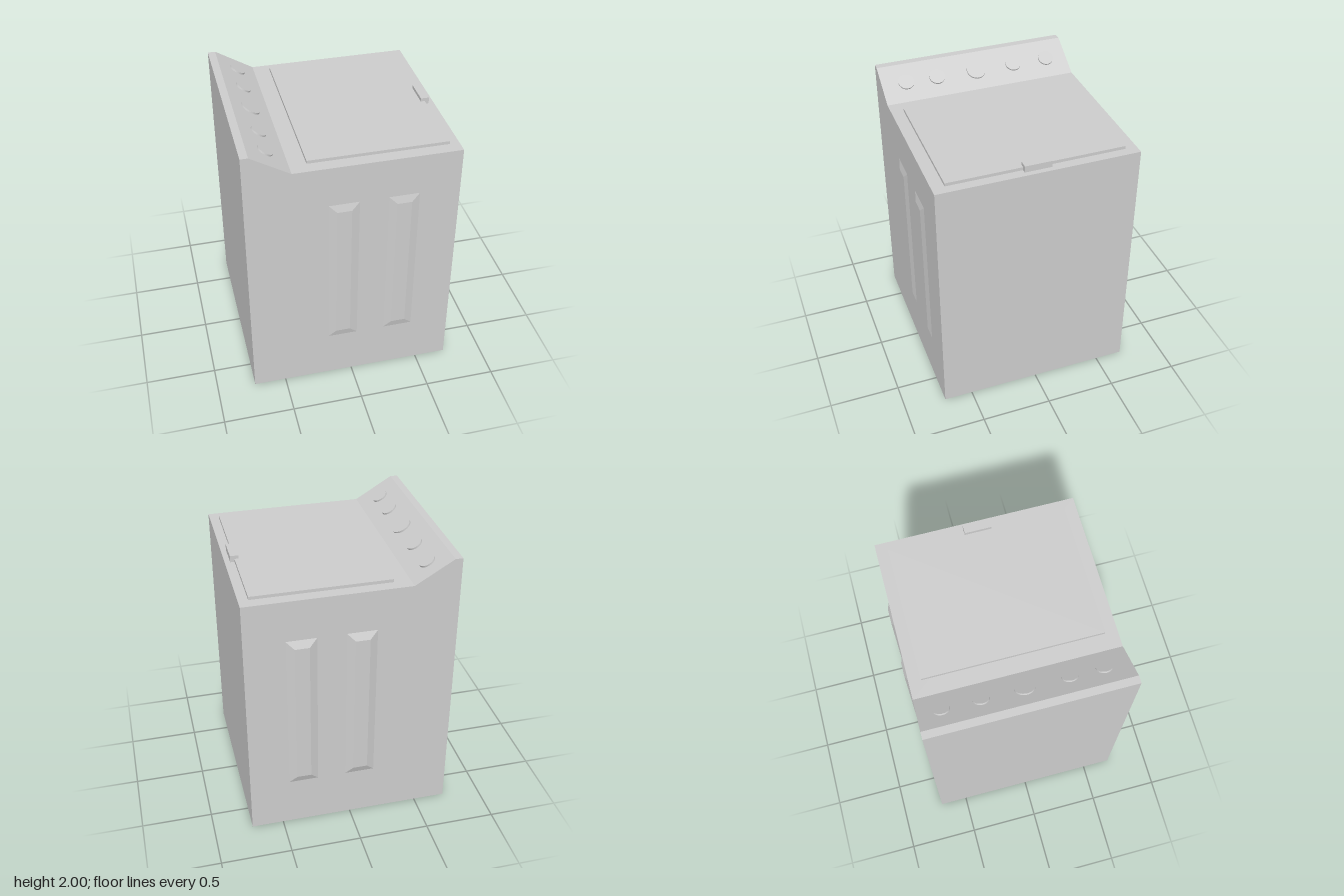
import * as THREE from 'three';

const material = new THREE.MeshStandardMaterial({ color: 0xcccccc, flatShading: true });

function add(parent, name, geometry, x = 0, y = 0, z = 0) {
  const mesh = new THREE.Mesh(geometry, material);
  mesh.name = name;
  mesh.position.set(x, y, z);
  parent.add(mesh);
  return mesh;
}

// Box whose +z face is drawn in by a bevel on all four sides
function pressedPanel(width, height, depth, bevel) {
  const geometry = new THREE.BoxGeometry(width, height, depth);
  const p = geometry.attributes.position;
  for (let i = 0; i < p.count; i++) {
    if (p.getZ(i) > 0) {
      p.setX(i, p.getX(i) - Math.sign(p.getX(i)) * bevel);
      p.setY(i, p.getY(i) - Math.sign(p.getY(i)) * bevel);
    }
  }
  geometry.computeVertexNormals();
  return geometry;
}

export function createModel() {
  const model = new THREE.Group();
  model.name = 'washingMachine';
  const front = 0.704, back = -0.699;

  // Cabinet with sloping control console, extruded along z
  const profile = new THREE.Shape([
    [-0.728, 0], [0.726, 0], [0.726, 1.84], [-0.41, 1.84], [-0.675, 2], [-0.728, 2],
  ].map(([x, y]) => new THREE.Vector2(x, y)));
  const cabinet = new THREE.ExtrudeGeometry(profile, { depth: front - back, bevelEnabled: false });
  add(model, 'cabinet', cabinet, 0, 0, back);

  // Lid and its handle
  add(model, 'lid', new THREE.BoxGeometry(0.955, 0.04, 1.235), 0.182, 1.842, 0);
  add(model, 'lidHandle', new THREE.BoxGeometry(0.058, 0.055, 0.188), 0.66, 1.858, 0.004);

  // Knobs set square to the console slope
  const normal = new THREE.Vector3(0.16, 0.265, 0).normalize();
  for (const [z, radius] of [[-0.54, 0.056], [-0.282, 0.056], [0.003, 0.069], [0.299, 0.056], [0.528, 0.056]]) {
    const knob = add(model, 'knob', new THREE.CylinderGeometry(radius, radius, 0.024, 32), -0.543, 1.92, z);
    knob.quaternion.setFromUnitVectors(new THREE.Vector3(0, 1, 0), normal);
  }

  // Raised ribs on the front and back
  for (const x of [-0.068, 0.341]) {
    add(model, 'frontRib', pressedPanel(0.21, 1.18, 0.014, 0.055), x, 0.955, front + 0.007);
    const rib = add(model, 'backRib', pressedPanel(0.21, 1.18, 0.022, 0.055), x, 0.955, back - 0.011);
    rib.rotation.y = Math.PI;
  }

  return model;
}
